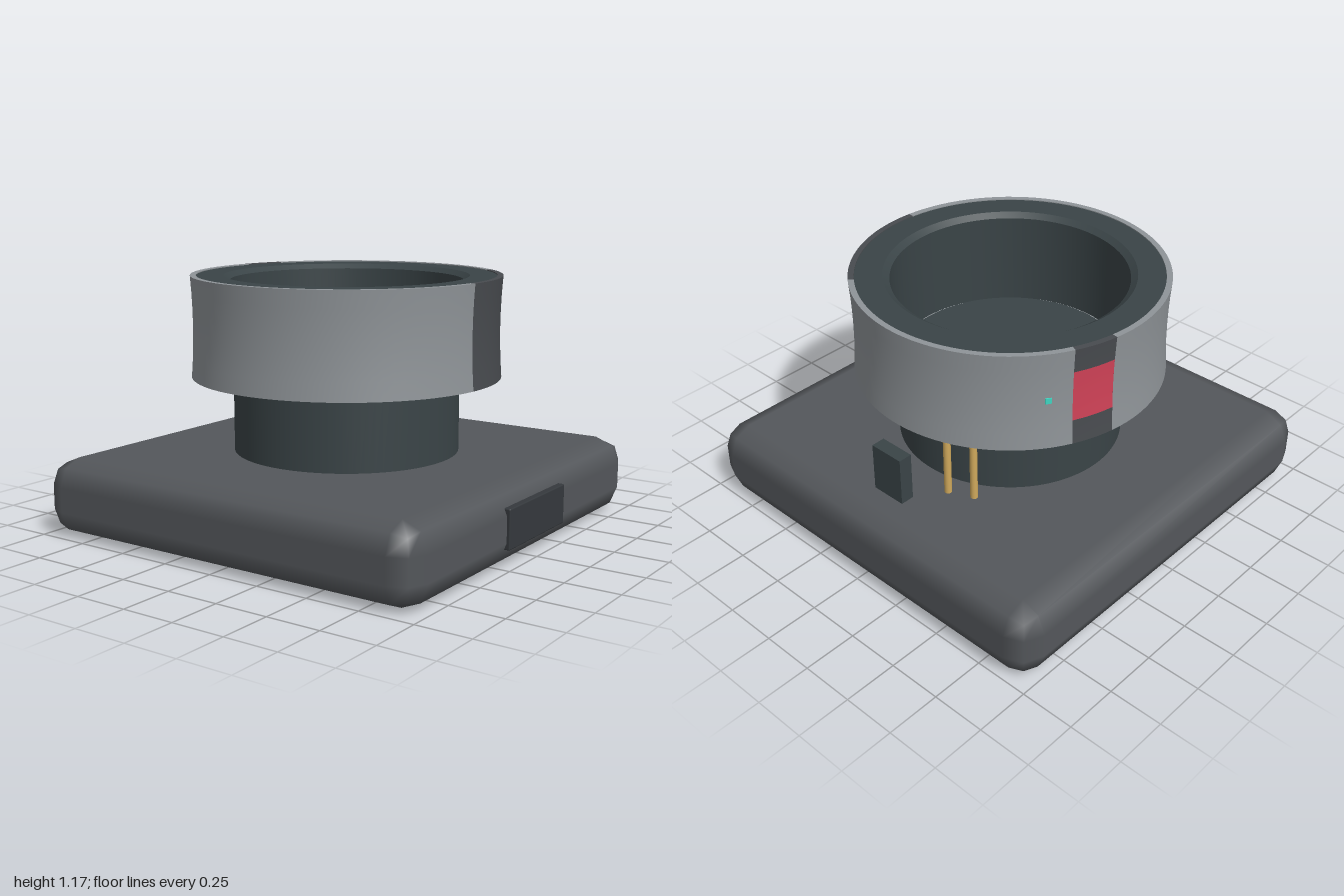
import * as THREE from 'three';
import { toCreasedNormals } from 'three/addons/utils/BufferGeometryUtils.js';
import { RoundedBoxGeometry } from 'three/addons/geometries/RoundedBoxGeometry.js';

const CZ = -0.007; // depth of the shared vertical axis
const BASE_TOP = 0.355, RING_BOTTOM = 0.705, RING_TOP = 1.172;
const SHELL_INNER = 0.69;

const mat = (color) => new THREE.MeshStandardMaterial({ color });
const materials = {
  base: mat(0x54575b),
  dark: mat(0x3a4447),
  shell: mat(0x8f9498),
  panel: mat(0x484b4f),
  port: mat(0x35393d),
  gold: mat(0xd0a95c),
  red: mat(0xd04257),
  light: mat(0x40d8c4),
};

// Slightly waisted outer radius of the shell
function shellRadius(y) {
  const t = (2 * (y - RING_BOTTOM)) / (RING_TOP - RING_BOTTOM) - 1;
  return 0.707 + 0.01 * t * t;
}

// Revolves a closed counter-clockwise profile; angle 0 is the front
function revolve(profile, start = 0, end = Math.PI * 2) {
  const points = [...profile, profile[0]].map(([r, y]) => new THREE.Vector2(r, y));
  const segments = Math.max(4, Math.ceil(((end - start) / (Math.PI * 2)) * 96));
  const geometry = new THREE.LatheGeometry(points, segments, start, end - start);
  return toCreasedNormals(geometry, 0.6);
}

// Curved shell piece between two angles and two heights
function shellPiece(start, end, y0 = RING_BOTTOM, y1 = RING_TOP) {
  const profile = [];
  for (let i = 0; i <= 6; i++) {
    const y = y0 + ((y1 - y0) * i) / 6;
    profile.push([shellRadius(y), y]);
  }
  profile.push([SHELL_INNER, y1], [SHELL_INNER, y0]);
  return revolve(profile, start, end);
}

export function createModel() {
  const model = new THREE.Group();
  model.name = 'sensorHousing';

  function add(name, geometry, material, x = 0, y = 0, z = CZ) {
    const mesh = new THREE.Mesh(geometry, material);
    mesh.name = name;
    mesh.position.set(x, y, z);
    model.add(mesh);
    return mesh;
  }

  // Rounded square base with a front port
  add('base', new RoundedBoxGeometry(1.99, BASE_TOP, 1.985, 1, 0.12), materials.base, 0, BASE_TOP / 2);
  add('frontPort', new RoundedBoxGeometry(0.51, 0.18, 0.04, 1, 0.006), materials.port, 0, 0.18, 0.98);

  // Pedestal, whose top is the floor of the open cup
  const pedestalHeight = RING_BOTTOM + 0.01 - 0.33;
  add('pedestal', new THREE.CylinderGeometry(0.525, 0.525, pedestalHeight, 96),
    materials.dark, 0, 0.33 + pedestalHeight / 2);

  // Thick inner ring with a bevelled mouth
  add('innerRing', revolve([
    [0.535, RING_BOTTOM + 0.004], [SHELL_INNER, RING_BOTTOM + 0.004],
    [SHELL_INNER, RING_TOP - 0.004], [0.565, RING_TOP - 0.004], [0.535, RING_TOP - 0.025],
  ]), materials.dark);

  // Outer shell: two light bands, a dark front panel and a rear window strip
  const frontStart = -0.09, frontEnd = 0.885, rearStart = 2.687, rearEnd = 2.966;
  add('leftShell', shellPiece(frontEnd, rearStart), materials.shell);
  add('rightShell', shellPiece(rearEnd, frontStart + Math.PI * 2), materials.shell);
  add('frontPanel', shellPiece(frontStart, frontEnd), materials.panel);
  add('windowSurroundLower', shellPiece(rearStart, rearEnd, RING_BOTTOM, 0.82), materials.panel);
  add('rearWindow', shellPiece(rearStart, rearEnd, 0.82, 1.06), materials.red);
  add('windowSurroundUpper', shellPiece(rearStart, rearEnd, 1.06, RING_TOP), materials.panel);

  // Small indicator light beside the window
  const a = 2.536;
  const light = add('indicatorLight', new THREE.BoxGeometry(0.027, 0.027, 0.016), materials.light,
    0.704 * Math.sin(a), 0.94, CZ + 0.704 * Math.cos(a));
  light.rotation.y = a;

  // Contact pins hanging under the ring
  for (const [x, z] of [[0.6, -0.188], [0.55, -0.298]]) {
    add('contactPin', new THREE.CylinderGeometry(0.017, 0.017, 0.35, 16), materials.gold, x, 0.54, z);
    add('pinCollar', new THREE.CylinderGeometry(0.023, 0.023, 0.012, 16), materials.gold, x, 0.704, z);
  }

  // Upright block on the base
  add('sideBlock', new THREE.BoxGeometry(0.066, 0.25, 0.172), materials.dark, 0.758, 0.463);

  return model;
}
